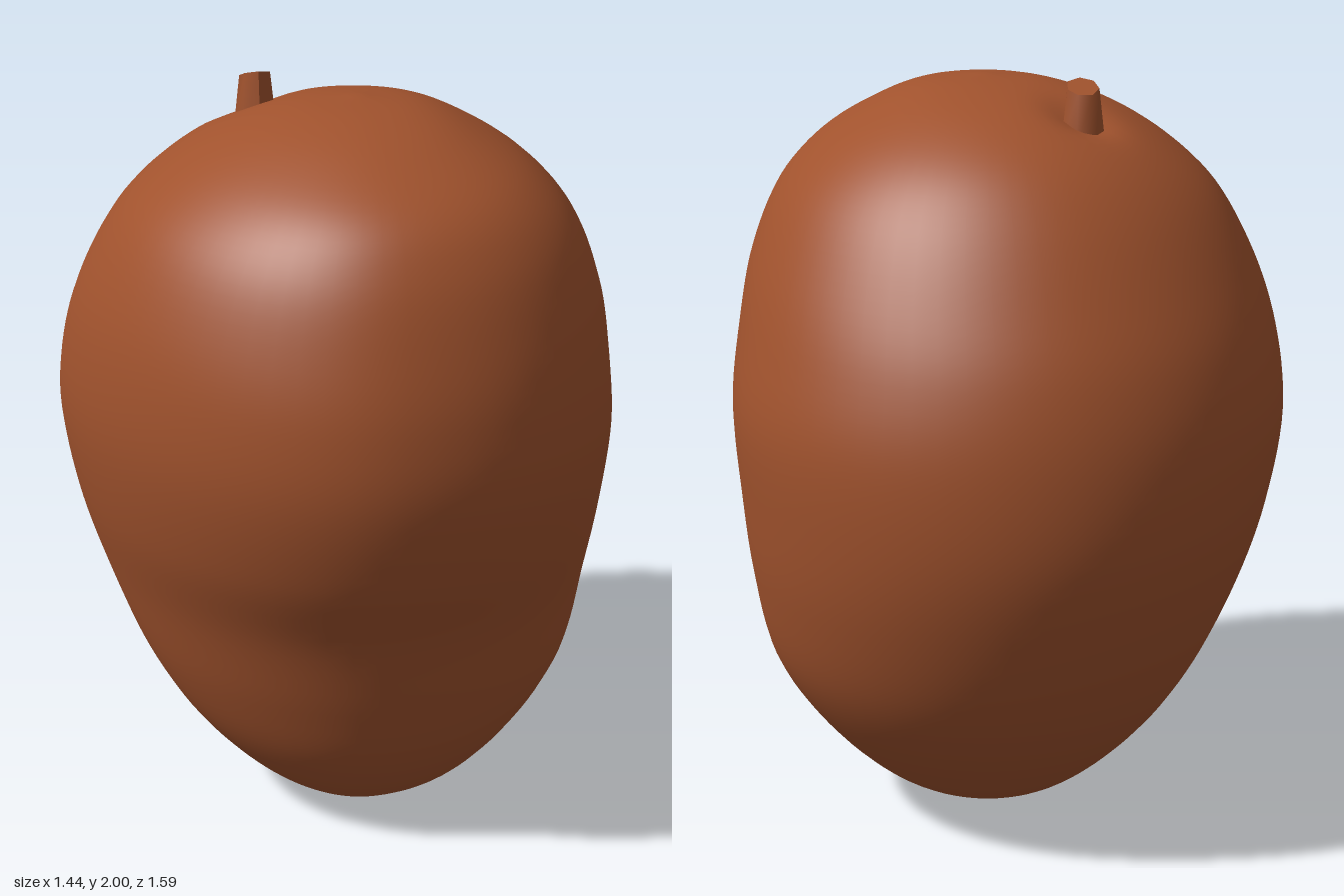
import * as THREE from 'three';
import { mergeVertices } from 'three/addons/utils/BufferGeometryUtils.js';

// Cross-sections from the bottom up: y, xMin, xMax, zMin, zMax, z of the widest line
const SECTIONS = [
  [0.0, 0.05, 0.05, 0.04, 0.04, 0.04],
  [0.03, -0.11, 0.2, -0.14, 0.2, 0.04],
  [0.12, -0.26, 0.36, -0.33, 0.34, 0.02],
  [0.28, -0.415, 0.515, -0.5, 0.46, -0.01],
  [0.47, -0.53, 0.63, -0.635, 0.54, -0.04],
  [0.7, -0.62, 0.68, -0.735, 0.617, -0.08],
  [0.92, -0.685, 0.705, -0.79, 0.725, -0.09],
  [1.15, -0.72, 0.72, -0.79, 0.79, -0.09],
  [1.35, -0.705, 0.695, -0.745, 0.79, -0.05],
  [1.53, -0.655, 0.655, -0.66, 0.75, 0.0],
  [1.7, -0.565, 0.58, -0.555, 0.685, 0.04],
  [1.82, -0.44, 0.47, -0.44, 0.59, 0.06],
  [1.91, -0.29, 0.33, -0.28, 0.42, 0.06],
  [1.965, -0.13, 0.2, -0.09, 0.24, 0.06],
  [1.985, 0.04, 0.04, 0.06, 0.06, 0.06],
];
const STALK = new THREE.Vector3(-0.17, 1.93, -0.2);

function fruitGeometry() {
  const smooth = (a, b, c) => new THREE.CatmullRomCurve3(
    SECTIONS.map((s) => new THREE.Vector3(s[a], s[b], s[c])), false, 'catmullrom', 0.5);
  const sides = smooth(1, 0, 2);
  const depth = smooth(3, 5, 4);
  const rows = 84, cols = 64, pos = [], index = [];
  for (let j = 0; j <= rows; j++) {
    const s = sides.getPoint(j / rows);
    const d = depth.getPoint(j / rows);
    const cx = (s.x + s.z) / 2;
    for (let i = 0; i < cols; i++) {
      const a = (i / cols) * Math.PI * 2;
      const c = Math.cos(a), n = Math.sin(a);
      // fuller front-left cheek, slightly slimmer front-right cheek
      const cheek = n > 0 ? Math.sin(2 * a) ** 2 * (c > 0 ? 0.04 : -0.02) : 0;
      const x = cx + ((s.z - s.x) / 2) * c * (1 + cheek);
      const z = d.y + (n > 0 ? d.z - d.y : d.y - d.x) * n * (1 + cheek);
      // small hollow around the stalk
      const r2 = (x - STALK.x) ** 2 + (z - STALK.z) ** 2;
      const dent = s.y > 1.5 ? 0.035 * Math.exp(-r2 / 0.006) : 0;
      pos.push(x, s.y - dent, z);
      if (j < rows) {
        const p = j * cols + i, q = j * cols + ((i + 1) % cols);
        index.push(p, p + cols, q, q, p + cols, q + cols);
      }
    }
  }
  const g = new THREE.BufferGeometry();
  g.setAttribute('position', new THREE.Float32BufferAttribute(pos, 3));
  g.setIndex(index);
  const merged = mergeVertices(g, 1e-5);
  merged.computeVertexNormals();
  return merged;
}

export function createModel() {
  const group = new THREE.Group();
  const skin = new THREE.MeshStandardMaterial({ color: 0xa0522d });
  skin.name = 'sienna skin';

  const fruit = new THREE.Mesh(fruitGeometry(), skin);
  fruit.name = 'fruitBody';
  group.add(fruit);

  // Short tapered stalk with a slanted tip
  const geo = new THREE.CylinderGeometry(0.042, 0.058, 0.16, 7);
  const p = geo.attributes.position;
  for (let i = 0; i < p.count; i++) {
    if (p.getY(i) > 0) p.setY(i, p.getY(i) - 0.018 + p.getZ(i) * 0.4);
  }
  geo.computeVertexNormals();
  const stalk = new THREE.Mesh(geo, skin);
  stalk.name = 'stalk';
  stalk.position.copy(STALK);
  stalk.position.y = 1.92;
  group.add(stalk);
  return group;
}
